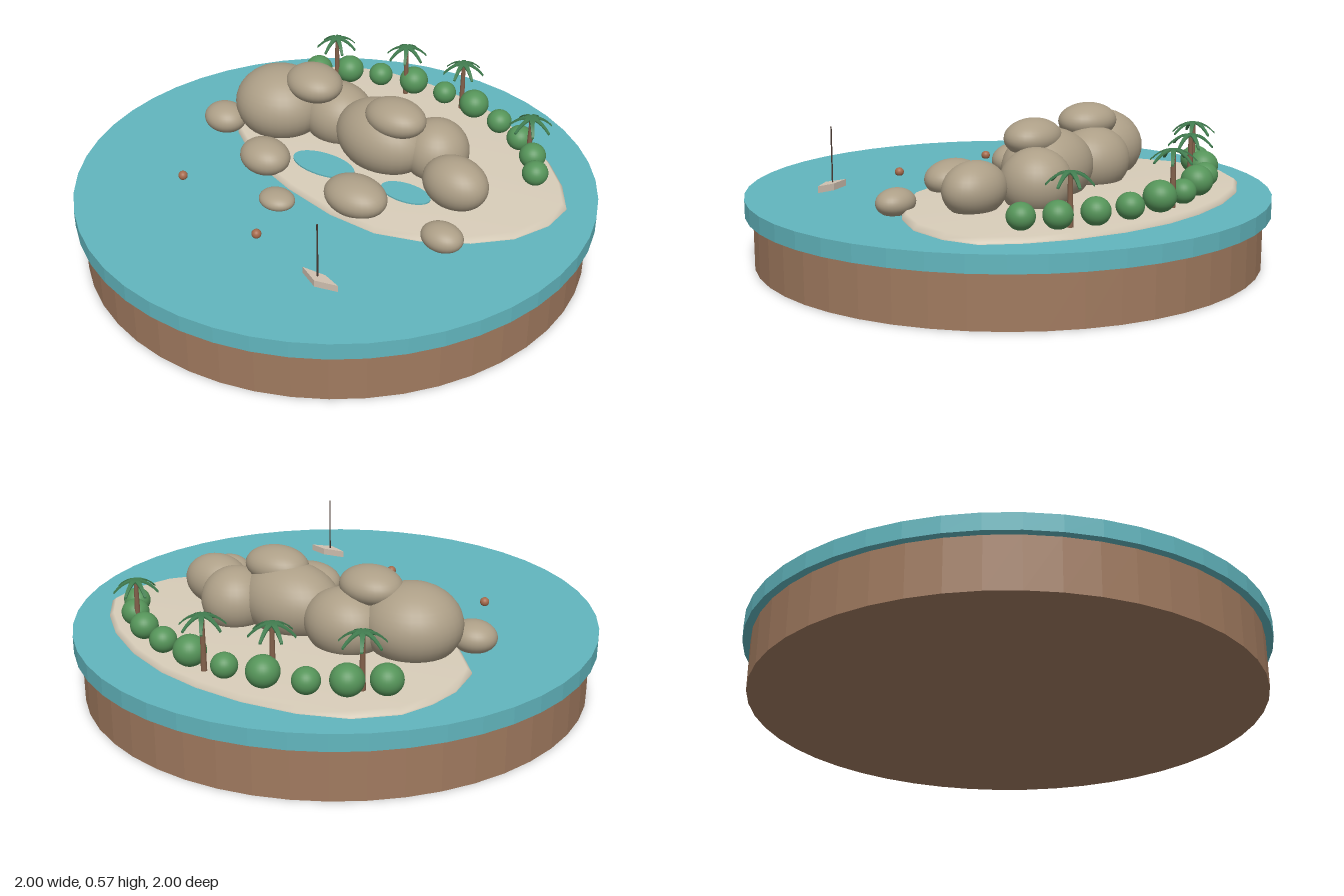
import * as THREE from 'three';

const mat = (name, color, extra = {}) => {
  const m = new THREE.MeshStandardMaterial({ color, ...extra });
  m.name = name;
  return m;
};

export function createModel() {
  const model = new THREE.Group();
  model.name = 'islandDiorama';
  const earth = mat('earth', 0xa07a5f, { flatShading: true });
  const water = mat('water', 0x62b6be, { flatShading: true });
  const sand = mat('sand', 0xd8cdb9);
  const rock = mat('rock', 0xad9f87);
  const bush = mat('bush', 0x559459);
  const leaf = mat('leaf', 0x427d50, { side: THREE.DoubleSide });
  const trunk = mat('trunk', 0x83614b);
  const buoy = mat('buoy', 0xa56a4c);
  const wood = mat('hull', 0xcfc0b0);
  const dark = mat('mast', 0x4a3a32);

  const add = (parent, name, geo, material, x = 0, y = 0, z = 0) => {
    const mesh = new THREE.Mesh(geo, material);
    mesh.name = name;
    mesh.position.set(x, y, z);
    parent.add(mesh);
    return mesh;
  };

  // Round base with the sea disc on top
  add(model, 'base', new THREE.CylinderGeometry(0.97, 0.97, 0.2, 48), earth, 0, 0.1, 0);
  add(model, 'sea', new THREE.CylinderGeometry(1, 1, 0.064, 48), water, 0, 0.23, 0);

  // Sand island: the shoreline shrunk through a few rings up to a low crown
  const shore = [
    [-0.61, -0.4], [-0.585, -0.555], [-0.53, -0.67], [-0.45, -0.77], [-0.3, -0.845], [-0.12, -0.86],
    [0.085, -0.83], [0.27, -0.77], [0.43, -0.69], [0.59, -0.57], [0.73, -0.42], [0.82, -0.28],
    [0.875, -0.14], [0.845, -0.01], [0.755, 0.12], [0.62, 0.21], [0.45, 0.27], [0.28, 0.29],
    [0.085, 0.245], [-0.13, 0.15], [-0.33, 0.03], [-0.5, -0.15],
  ];
  const rings = [[1, 0.25], [1, 0.268], [0.975, 0.283], [0, 0.287]];
  const cx = 0.13, cz = -0.28, n = shore.length;
  const pos = [], index = [];
  for (const [s, y] of rings)
    for (const [x, z] of shore) pos.push(cx + (x - cx) * s, y, cz + (z - cz) * s);
  for (let r = 0; r < rings.length - 1; r++)
    for (let i = 0; i < n; i++) {
      const a = r * n + i, b = r * n + (i + 1) % n;
      index.push(a, a + n, b, b, a + n, b + n);
    }
  const sandGeo = new THREE.BufferGeometry();
  sandGeo.setAttribute('position', new THREE.Float32BufferAttribute(pos, 3));
  sandGeo.setIndex(index);
  sandGeo.computeVertexNormals();
  add(model, 'sandIsland', sandGeo, sand);

  // Tide pools lying on the sand
  for (const [x, z, rx, rz] of [[-0.065, -0.03, 0.138, 0.072], [0.3, 0.03, 0.105, 0.058]]) {
    const pool = add(model, 'tidePool', new THREE.CylinderGeometry(1, 1, 1, 32), water, x, 0.287, z);
    pool.scale.set(rx, 0.006, rz);
    pool.rotation.y = -0.22;
  }

  // Boulders: x, y, z, radii, turn
  const ball = new THREE.SphereGeometry(1, 32, 20);
  const boulders = [
    [-0.365, 0.375, -0.275, 0.187, 0.15, 0.178, -0.2],
    [-0.125, 0.36, -0.305, 0.16, 0.13, 0.135, -0.4],
    [-0.21, 0.5, -0.265, 0.125, 0.07, 0.105, -0.5],
    [0.12, 0.375, -0.185, 0.205, 0.145, 0.155, -0.35],
    [0.185, 0.495, -0.145, 0.128, 0.07, 0.098, -0.3],
    [0.335, 0.36, -0.195, 0.13, 0.125, 0.132, 0.4],
    [0.48, 0.355, -0.01, 0.135, 0.1, 0.105, -0.35],
    [-0.57, 0.308, -0.175, 0.09, 0.06, 0.08, -0.3],
    [-0.28, 0.315, 0.045, 0.106, 0.068, 0.09, -0.35],
    [-0.13, 0.277, 0.25, 0.073, 0.036, 0.062, -0.3],
    [0.155, 0.32, 0.17, 0.13, 0.072, 0.1, -0.3],
    [0.53, 0.302, 0.265, 0.083, 0.051, 0.066, -0.3],
  ];
  for (const [x, y, z, rx, ry, rz, turn] of boulders) {
    const b = add(model, 'boulder', ball, rock, x, y, z);
    b.scale.set(rx, ry, rz);
    b.rotation.y = turn;
  }

  // Row of bushes along the back shore
  const bushes = [
    [-0.375, -0.67, 0.058], [-0.25, -0.715, 0.06], [-0.115, -0.74, 0.05], [0.04, -0.73, 0.06],
    [0.19, -0.7, 0.048], [0.34, -0.64, 0.06], [0.475, -0.56, 0.05], [0.59, -0.465, 0.052],
    [0.675, -0.355, 0.052], [0.72, -0.24, 0.05],
  ];
  for (const [x, z, r] of bushes) add(model, 'bush', ball, bush, x, 0.282 + r * 0.9, z).scale.set(r, r * 0.95, r);

  // Palm leaf: tapered strip drooping toward the tip
  const leafGeo = new THREE.BoxGeometry(0.085, 0.006, 0.022, 5, 1, 1);
  const p = leafGeo.attributes.position;
  for (let i = 0; i < p.count; i++) {
    const t = p.getX(i) / 0.085 + 0.5;
    p.setXYZ(i, t * 0.083, p.getY(i) + 0.01 * t - 0.05 * t * t, p.getZ(i) * (1 - 0.55 * t));
  }
  leafGeo.computeVertexNormals();
  const palms = [[-0.29, -0.67, 0.215], [0.015, -0.7, 0.22], [0.275, -0.675, 0.21], [0.65, -0.39, 0.19]];
  palms.forEach(([x, z, h], k) => {
    const palm = new THREE.Group();
    palm.name = 'palmTree';
    palm.position.set(x, 0.28, z);
    add(palm, 'palmTrunk', new THREE.CylinderGeometry(0.008, 0.012, h, 8), trunk, 0, h / 2, 0);
    for (let i = 0; i < 7; i++)
      add(palm, 'palmLeaf', leafGeo, leaf, 0, h, 0).rotation.y = (i / 7) * Math.PI * 2 + k * 0.5;
    model.add(palm);
  });

  // Floating buoys
  for (const [x, z] of [[-0.535, 0.245], [-0.1, 0.48]])
    add(model, 'buoy', ball, buoy, x, 0.275, z).scale.setScalar(0.018);

  // Small boat with a thin mast
  const boat = new THREE.Group();
  boat.name = 'boat';
  boat.position.set(0.222, 0.262, 0.637);
  const outline = [[-0.077, 0.027], [0.015, 0.015], [0.078, -0.023], [-0.008, -0.028]];
  const hullShape = new THREE.Shape(outline.map(([x, y]) => new THREE.Vector2(x, y)));
  add(boat, 'hull', new THREE.ExtrudeGeometry(hullShape, { depth: 0.026, bevelEnabled: false }), wood)
    .rotation.x = -Math.PI / 2;
  add(boat, 'mast', new THREE.CylinderGeometry(0.003, 0.003, 0.235, 6), dark, -0.008, 0.123, 0);
  model.add(boat);

  return model;
}
